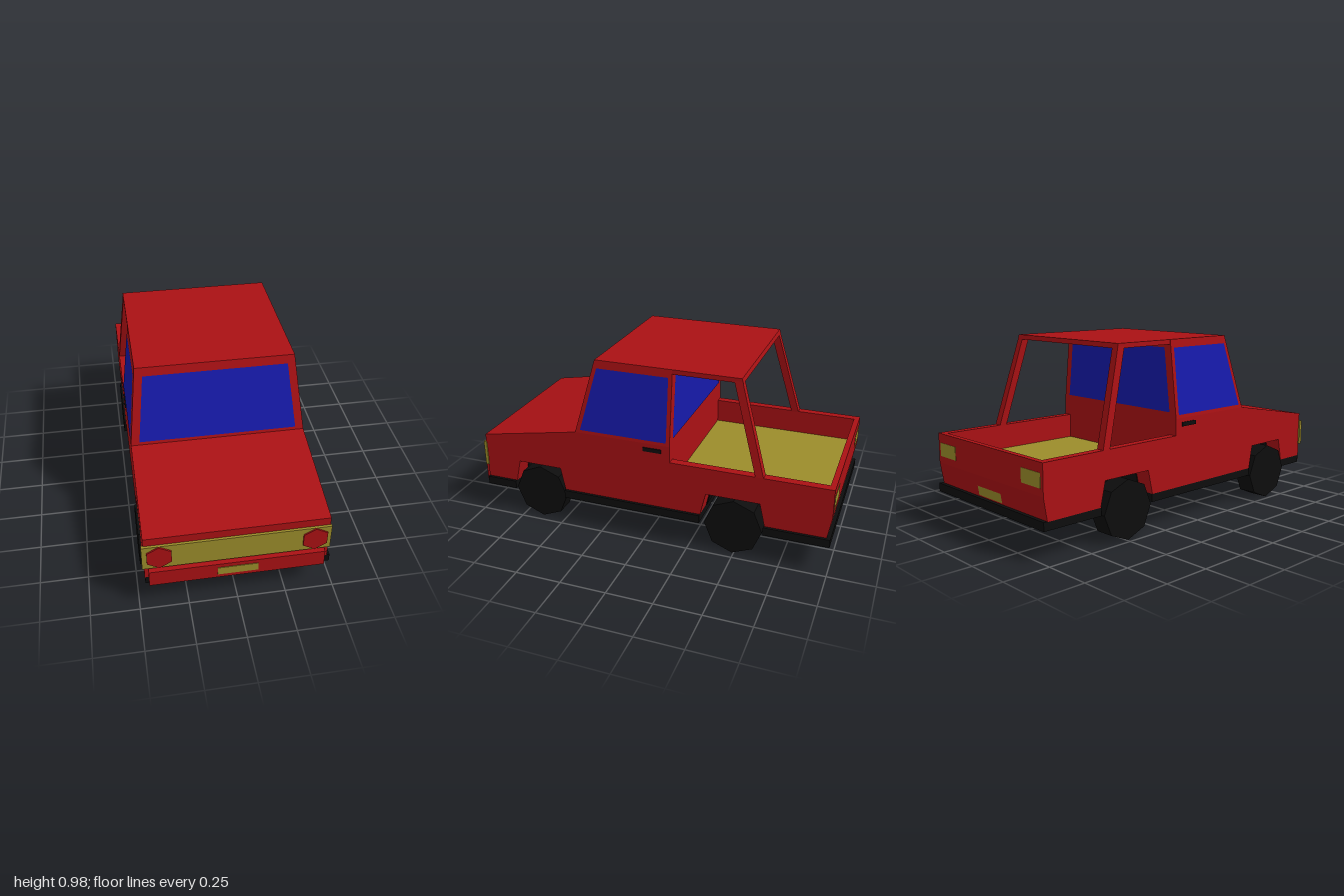
import * as THREE from 'three';

const paint = (color) => new THREE.MeshStandardMaterial({ color, flatShading: true, side: THREE.DoubleSide });

export function createModel() {
  const truck = new THREE.Group();
  truck.name = 'pickupTruck';
  const red = paint(0xaa1114), blue = paint(0x161aab), yellow = paint(0x9b8c2a), black = paint(0x0d0d0d);
  const L = 0.46, R = -0.465; // body flanks

  const add = (name, geometry, material) => {
    const mesh = new THREE.Mesh(geometry, material);
    mesh.name = name;
    truck.add(mesh);
    return mesh;
  };

  // Box given by its extents on each axis
  const box = (name, material, x0, x1, y0, y1, z0, z1) =>
    add(name, new THREE.BoxGeometry(x1 - x0, y1 - y0, z1 - z0)
      .translate((x0 + x1) / 2, (y0 + y1) / 2, (z0 + z1) / 2), material);

  // Side profile of [z, y] points, extruded from x0 to x1
  const profile = (name, material, points, x0, x1) => {
    const shape = new THREE.Shape(points.map(([z, y]) => new THREE.Vector2(z, y)));
    const geometry = new THREE.ExtrudeGeometry(shape, { depth: x1 - x0, bevelEnabled: false });
    return add(name, geometry.rotateY(-Math.PI / 2).translate(x1, 0, 0), material);
  };

  // Six-sided block between two quads; corners run counter-clockwise seen from above
  const block = (name, material, bottom, top) => {
    const geometry = new THREE.BufferGeometry();
    geometry.setAttribute('position', new THREE.Float32BufferAttribute([...bottom, ...top].flat(), 3));
    const index = [0, 2, 1, 0, 3, 2, 4, 5, 6, 4, 6, 7];
    for (let i = 0; i < 4; i++) {
      const j = (i + 1) % 4;
      index.push(i, j, j + 4, i, j + 4, i + 4);
    }
    geometry.setIndex(index);
    const flat = geometry.toNonIndexed();
    flat.computeVertexNormals();
    return add(name, flat, material);
  };

  // Flat pane through four corners
  const pane = (name, material, [a, b, c, d]) => {
    const geometry = new THREE.BufferGeometry();
    geometry.setAttribute('position', new THREE.Float32BufferAttribute([a, b, c, a, c, d].flat(), 3));
    geometry.computeVertexNormals();
    return add(name, geometry, material);
  };

  // Lower body: underside with wheel arches, from back to front
  const frontArch = [[0.48, 0.2], [0.505, 0.33], [0.76, 0.33], [0.79, 0.2]];
  const rearArch = [[-0.66, 0.2], [-0.63, 0.33], [-0.34, 0.33], [-0.31, 0.2]];
  const nose = [[0.97, 0.2], [0.97, 0.465], [0.4, 0.57], [-0.14, 0.57]];
  const flank = [[-0.98, 0.2], ...rearArch, ...frontArch, ...nose, [-0.14, 0.48], [-1, 0.48], [-1, 0.32]];
  profile('leftFlank', red, flank, L - 0.045, L);
  profile('rightFlank', red, flank, R, R + 0.045);
  profile('bodyCore', red,
    [[-0.97, 0.2], ...rearArch, ...frontArch, ...nose, [-0.14, 0.34], [-0.97, 0.34]], R + 0.045, L - 0.045);
  profile('tailgate', red,
    [[-0.96, 0.2], [-0.97, 0.48], [-1, 0.48], [-1, 0.32], [-0.98, 0.2]], R + 0.045, L - 0.045);
  box('bedFloor', yellow, R + 0.045, L - 0.045, 0.338, 0.345, -0.97, -0.14);

  // Chassis plates between the wheels, and dark liners inside the arches
  for (const [z0, z1] of [[-1, -0.655], [-0.31, 0.48], [0.79, 0.97]]) {
    box('chassisPlate', black, -0.463, 0.475, 0.157, 0.202, z0, z1);
  }
  for (const arch of [frontArch, rearArch]) {
    const mid = (arch[0][0] + arch[3][0]) / 2;
    const inner = arch.map(([z, y]) => [mid + (z - mid) * 0.97, y > 0.3 ? y - 0.005 : y]);
    profile('archLiner', black, [...arch, ...inner.reverse()], -0.37, 0.35);
  }

  // Tapered cab, roof and rear roof pillars
  const TL = 0.413, TR = -0.418;
  block('cab', red,
    [[R, 0.57, 0.4], [L, 0.57, 0.4], [L, 0.57, -0.14], [R, 0.57, -0.14]],
    [[TR, 0.98, 0.29], [TL, 0.98, 0.29], [TL, 0.98, -0.14], [TR, 0.98, -0.14]]);
  block('rearRoof', red,
    [[TR, 0.955, -0.13], [TL, 0.955, -0.13], [TL, 0.955, -0.507], [TR, 0.955, -0.507]],
    [[TR, 0.98, -0.13], [TL, 0.98, -0.13], [TL, 0.98, -0.5], [TR, 0.98, -0.5]]);
  for (const [name, bx0, bx1, tx0, tx1] of [
    ['leftRearPillar', L - 0.045, L, TL - 0.04, TL],
    ['rightRearPillar', R, R + 0.045, TR, TR + 0.04]]) {
    block(name, red,
      [[bx0, 0.475, -0.6], [bx1, 0.475, -0.6], [bx1, 0.475, -0.643], [bx0, 0.475, -0.643]],
      [[tx0, 0.965, -0.46], [tx1, 0.965, -0.46], [tx1, 0.965, -0.503], [tx0, 0.965, -0.503]]);
  }

  // Windows lie just above the cab faces
  const frontZ = (y) => 0.404 - (y - 0.57) * 0.268;
  const sideX = (side, y) => -0.0025 + side * (0.4655 - (y - 0.57) * 0.1146);
  const lo = 0.588, hi = 0.937;
  pane('windshield', blue, [[-0.42, lo, frontZ(lo)], [0.415, lo, frontZ(lo)],
    [0.375, hi, frontZ(hi)], [-0.38, hi, frontZ(hi)]]);
  pane('rearWindow', blue, [[0.415, 0.6, -0.143], [-0.42, 0.6, -0.143],
    [-0.38, hi, -0.143], [0.375, hi, -0.143]]);
  for (const side of [1, -1]) {
    const label = side > 0 ? 'left' : 'right';
    pane(label + 'DoorWindow', blue, [[sideX(side, lo), lo, 0.37], [sideX(side, lo), lo, -0.12],
      [sideX(side, hi), hi, -0.12], [sideX(side, hi), hi, 0.277]]);
    const x = side > 0 ? L : R;
    box(label + 'DoorHandle', black, x - 0.005, x + 0.005, 0.525, 0.547, -0.093, 0.008);
  }

  // Front: grille, headlights, bumper and plate
  box('grille', yellow, -0.475, 0.465, 0.275, 0.42, 0.965, 0.983);
  for (const x of [-0.39, 0.384]) {
    add('headlight', new THREE.CylinderGeometry(0.07, 0.07, 0.02, 6).rotateX(Math.PI / 2)
      .translate(x, 0.35, 0.981), red);
  }
  box('frontBumper', red, -0.445, 0.44, 0.167, 0.26, 0.965, 0.997);
  box('frontPlate', yellow, -0.105, 0.1, 0.19, 0.237, 0.99, 1);

  // Back: tail lights and plate on the sloping lower panel
  box('rightTailLight', yellow, -0.445, -0.295, 0.357, 0.43, -1.002, -0.995);
  box('leftTailLight', yellow, 0.29, 0.44, 0.357, 0.43, -1.002, -0.995);
  const backZ = (y) => -1.002 + (0.32 - y) * 0.167;
  pane('rearPlate', yellow, [[0.1, 0.21, backZ(0.21)], [-0.105, 0.21, backZ(0.21)],
    [-0.105, 0.26, backZ(0.26)], [0.1, 0.26, backZ(0.26)]]);

  // Eight-sided wheels
  for (const z of [0.635, -0.49]) {
    for (const [name, x] of [['leftWheel', 0.403], ['rightWheel', -0.423]]) {
      add(name, new THREE.CylinderGeometry(0.157, 0.157, 0.105, 8).rotateZ(Math.PI / 2)
        .translate(x, 0.157, z), black);
    }
  }
  return truck;
}
